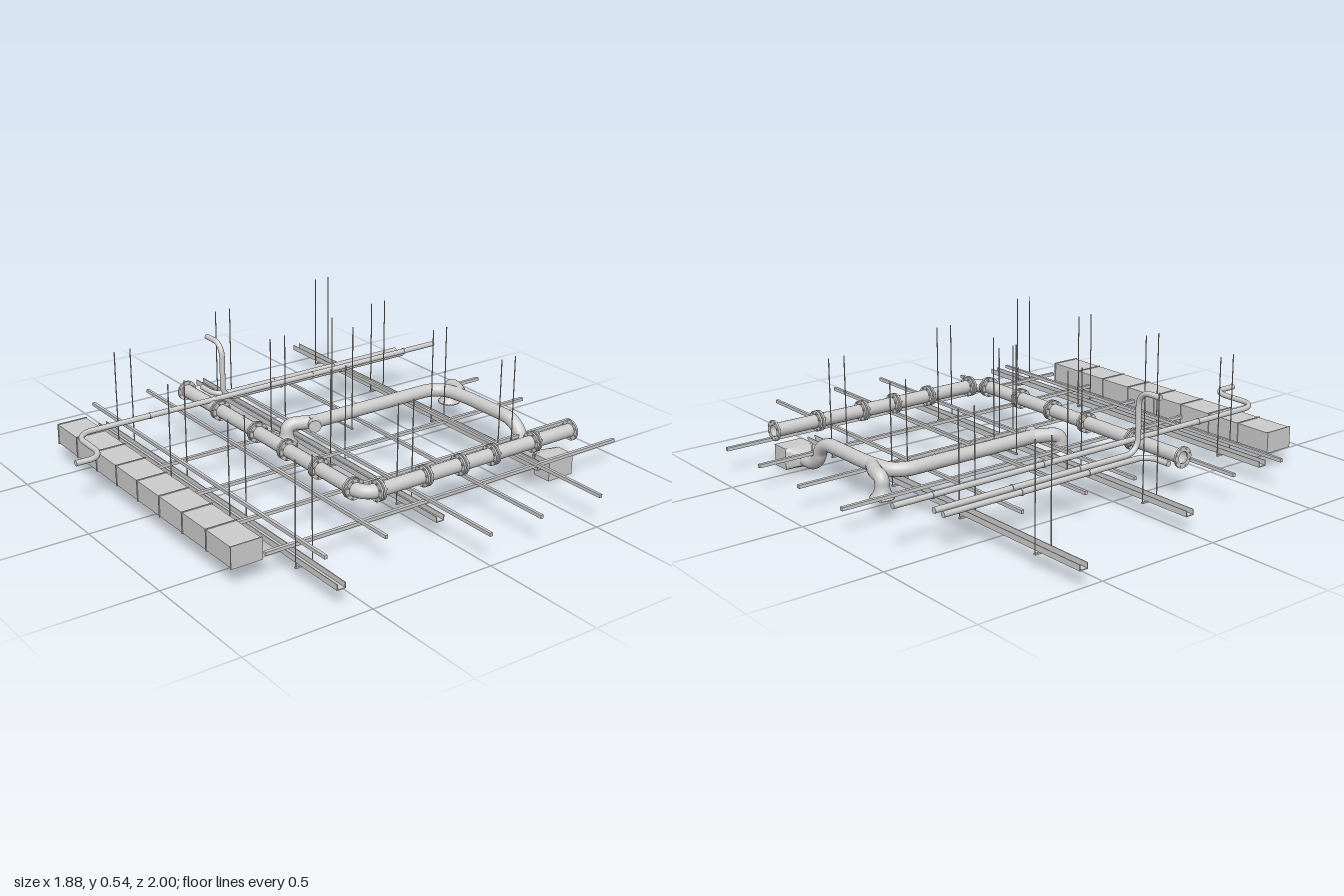
import * as THREE from 'three';

const grey = new THREE.MeshStandardMaterial({ color: 0xcccccc, side: THREE.DoubleSide });
const V = (x, y, z) => new THREE.Vector3(x, y, z);

export function createModel() {
  const root = new THREE.Group();

  const add = (name, geo, x = 0, y = 0, z = 0, parent = root) => {
    const m = new THREE.Mesh(geo, grey);
    m.name = name;
    m.position.set(x, y, z);
    parent.add(m);
    return m;
  };

  // box given by its min and max corners
  const span = (name, x0, x1, y0, y1, z0, z1, parent) =>
    add(name, new THREE.BoxGeometry(x1 - x0, y1 - y0, z1 - z0),
      (x0 + x1) / 2, (y0 + y1) / 2, (z0 + z1) / 2, parent);

  const rod = (name, x, z, y0, y1, r = 0.0022) =>
    add(name, new THREE.CylinderGeometry(r, r, y1 - y0, 6), x, (y0 + y1) / 2, z);

  // tube through corner points, each corner rounded by the bend length
  const pipe = (name, pts, r, bend = 0.06, open = false, steps = 120) => {
    const path = new THREE.CurvePath();
    let from = pts[0];
    for (let i = 1; i < pts.length - 1; i++) {
      const p = pts[i];
      const toward = (q) => {
        const d = q.clone().sub(p);
        return p.clone().addScaledVector(d.clone().normalize(), Math.min(bend, d.length() * 0.49));
      };
      const a = toward(pts[i - 1]), b = toward(pts[i + 1]);
      path.add(new THREE.LineCurve3(from, a));
      // cubic close to a circular arc
      path.add(new THREE.CubicBezierCurve3(a, a.clone().lerp(p, 0.55), b.clone().lerp(p, 0.55), b));
      from = b;
    }
    const last = pts[pts.length - 1];
    path.add(new THREE.LineCurve3(from, last));
    add(name, new THREE.TubeGeometry(path, steps, r, 18, false));
    if (!open) {
      [[pts[0], pts[1]], [last, pts[pts.length - 2]]].forEach(([end, inner]) => {
        const cap = add(name + 'Cap', new THREE.CircleGeometry(r, 18), end.x, end.y, end.z);
        cap.quaternion.setFromUnitVectors(V(0, 0, 1), end.clone().sub(inner).normalize());
      });
    }
  };

  // Rectangular main duct with seam frames
  span('mainDuct', -0.797, -0.677, 0.075, 0.153, -0.63, 0.625);
  for (let i = 0; i <= 8; i++) {
    const z = -0.628 + i * 0.1564;
    span('ductSeam', -0.8, -0.674, 0.072, 0.156, z - 0.002, z + 0.002);
  }

  // Two crossing layers of slim bars
  [-0.16, 0.12, 0.397, 0.64].forEach((z) =>
    span('crossBar', -0.677, 0.94, 0.095, 0.108, z - 0.007, z + 0.007));
  [[-0.55, -0.81, 0.81], [-0.3, -0.81, 0.81], [-0.003, -0.61, 1], [0.228, -0.61, 1], [0.51, -0.61, 1]]
    .forEach(([x, z0, z1]) => span('lengthBar', x - 0.006, x + 0.006, 0.115, 0.128, z0, z1));

  // Open cable trays on trapeze hangers
  const tray = (x, z0, z1, firstHanger) => {
    const g = new THREE.Group();
    g.name = 'cableTray';
    root.add(g);
    span('trayFloor', x - 0.017, x + 0.017, 0.062, 0.065, z0, z1, g);
    [-1, 1].forEach((s) => {
      const e = x + s * 0.016;
      span('traySide', e - 0.0015, e + 0.0015, 0.062, 0.084, z0, z1, g);
    });
    for (let i = 0; i < 4; i++) {
      const z = firstHanger + i * 0.405;
      span('trapezeBar', x - 0.036, x + 0.036, 0.056, 0.062, z - 0.004, z + 0.004);
      [-1, 1].forEach((s) => rod('hangerRod', x + s * 0.034, z, 0.056, 0.45));
    }
  };
  tray(-0.571, -0.7, 0.925, -0.5);
  tray(-0.004, -0.885, 0.735, -0.685);
  tray(0.58, -1, 0.62, -0.8);

  // Large flanged pipe with one elbow
  const Y = 0.16;
  pipe('flangedPipe', [V(-0.215, Y, -0.635), V(-0.215, Y, 0.568), V(0.775, Y, 0.568)], 0.027, 0.06, true, 160);

  // Flange ring or bolted pair of rings; the axis is 'x' or 'z'
  const flange = (axis, x, z, pair) => {
    const g = new THREE.Group();
    g.name = pair ? 'boltedFlange' : 'endFlange';
    g.position.set(x, Y, z);
    if (axis === 'x') g.rotation.z = -Math.PI / 2;
    else g.rotation.x = Math.PI / 2;
    root.add(g);
    const t = 0.004;
    const profile = [[0.023, -t], [0.041, -t], [0.041, t], [0.023, t], [0.023, -t]];
    // every ring face keeps its own flat normals
    const offsets = pair ? [-0.0075, 0.0075] : [0];
    offsets.forEach((o) => {
      for (let i = 0; i < 4; i++) {
        const edge = [profile[i], profile[i + 1]].map(([r, h]) => new THREE.Vector2(r, h));
        add('flangeRing', new THREE.LatheGeometry(edge, 24), 0, o, 0, g);
      }
    });
    for (let i = 0; i < 8; i++) {
      const a = (i + 0.5) * Math.PI / 4;
      add('bolt', new THREE.CylinderGeometry(0.0035, 0.0035, pair ? 0.034 : 0.014, 6),
        Math.cos(a) * 0.035, 0, Math.sin(a) * 0.035, g);
    }
  };
  [-0.375, -0.108, 0.095, 0.297, 0.507].forEach((z) => flange('z', -0.215, z, true));
  [-0.155, 0.055, 0.222, 0.375, 0.58].forEach((x) => flange('x', x, 0.568, true));
  flange('z', -0.215, -0.633, false);
  flange('x', 0.773, 0.568, false);

  // Long thin pipe with an offset at its end and small couplings
  pipe('longPipe', [V(0.912, 0.187, -0.43), V(-0.825, 0.187, -0.43), V(-0.825, 0.187, -0.195), V(-0.94, 0.187, -0.195)],
    0.011, 0.075, false, 180);
  [-0.5, 0.27, 0.75].forEach((x) => {
    add('coupling', new THREE.CylinderGeometry(0.013, 0.013, 0.008, 16), x, 0.187, -0.43).rotation.z = Math.PI / 2;
  });

  // Twin pipes: one turns back, the other rises
  pipe('sidePipe', [V(0.782, 0.155, -0.53), V(-0.137, 0.155, -0.53), V(-0.137, 0.155, -0.642)], 0.011, 0.055);
  pipe('riserPipe', [V(0.782, 0.155, -0.48), V(-0.137, 0.155, -0.48), V(-0.137, 0.39, -0.48), V(-0.137, 0.39, -0.592)],
    0.011, 0.055);
  [0.145, 0.45].forEach((x) => [-0.53, -0.48].forEach((z) => {
    add('coupling', new THREE.CylinderGeometry(0.0135, 0.0135, 0.008, 16), x, 0.155, z).rotation.z = Math.PI / 2;
  }));

  // Round air duct: rises from the plenum, runs back and turns across
  const A = 0.15;
  pipe('airDuct', [V(0.685, 0.045, 0.51), V(0.685, 0.045, 0.405), V(0.685, A, 0.37), V(0.685, A, 0.04),
    V(0.655, A, -0.085), V(0.01, A, -0.085)], 0.027, 0.075, false, 160);

  // Branches ending in downward diffusers
  pipe('rightBranch', [V(0.683, A, 0.03), V(0.72, A, -0.04), V(0.725, A, -0.09), V(0.725, 0.1, -0.09)], 0.027, 0.04, false, 50);
  pipe('leftBranch', [V(0.04, A, -0.085), V(0, A, -0.1), V(-0.065, A, -0.125), V(-0.07, 0.1, -0.125)], 0.027, 0.04, false, 50);
  pipe('branchStub', [V(0.05, A, -0.085), V(0.025, A, -0.075), V(0.008, A, -0.042)], 0.025, 0.02, false, 24);
  [[0.725, -0.09], [-0.07, -0.125]].forEach(([x, z]) => {
    const p = [[0.027, 0.115], [0.029, 0.1], [0.036, 0.085], [0.045, 0.076], [0.045, 0.07], [0, 0.072]];
    add('diffuser', new THREE.LatheGeometry(p.map(([r, h]) => new THREE.Vector2(r, h)), 24), x, 0, z);
  });

  // Plenum box and its square-to-round transition
  span('plenumBox', 0.625, 0.745, 0.002, 0.086, 0.54, 0.62);
  const n = 32, pos = [], idx = [];
  for (let i = 0; i <= n; i++) {
    const a = i / n * Math.PI * 2, c = Math.cos(a), s = Math.sin(a);
    const k = 1 / Math.max(Math.abs(c), Math.abs(s));
    pos.push(0.685 + c * 0.027, 0.045 + s * 0.027, 0.49);
    pos.push(0.685 + c * k * 0.06, 0.044 + s * k * 0.042, 0.54);
    if (i < n) idx.push(2 * i, 2 * i + 2, 2 * i + 1, 2 * i + 1, 2 * i + 2, 2 * i + 3);
  }
  const transition = new THREE.BufferGeometry();
  transition.setAttribute('position', new THREE.Float32BufferAttribute(pos, 3));
  transition.setIndex(idx);
  transition.computeVertexNormals();
  add('plenumTransition', transition);

  // Tall hanger carrying the air duct
  span('ductHangerBar', 0.151, 0.159, 0.117, 0.123, -0.14, 0.005);
  [0, -0.135].forEach((z) => rod('ductHangerRod', 0.155, z, 0.117, 0.54));

  return root;
}
